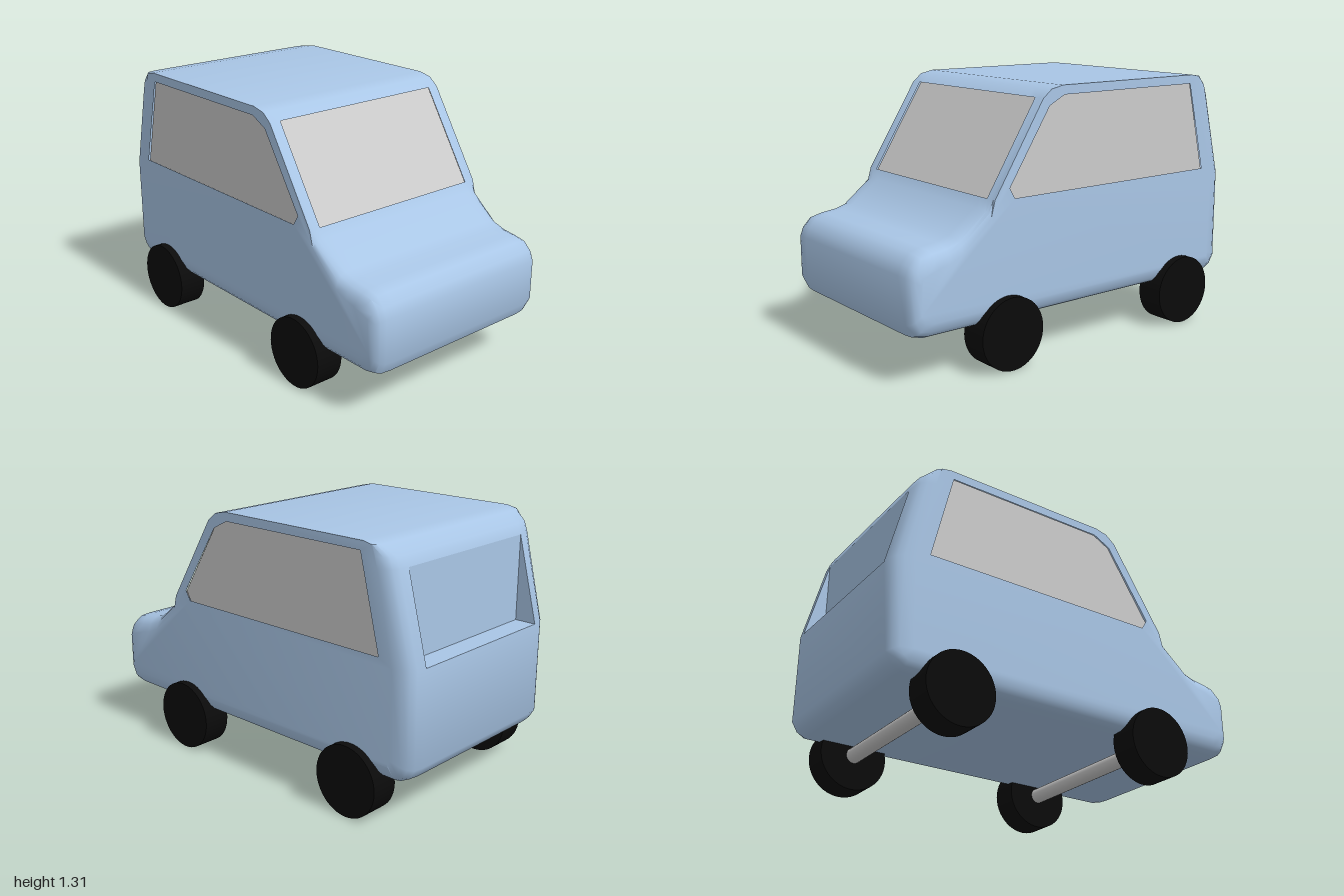
import * as THREE from 'three';
import { toCreasedNormals } from 'three/addons/utils/BufferGeometryUtils.js';

const paint = new THREE.MeshStandardMaterial({ color: 0xa9c6e6, side: THREE.DoubleSide });
const grey = new THREE.MeshStandardMaterial({ color: 0xcccccc, side: THREE.DoubleSide });
const rubber = new THREE.MeshStandardMaterial({ color: 0x0b0b0b });

// Side profile, nose at +x: x, y, edge inset in x and y, half width of an opening above this point
const PROFILE = [
  [-0.92, 0.225, 0.03, 0.08], [0.91, 0.225, -0.03, 0.08], [0.97, 0.24, -0.04, 0.07],
  [1, 0.3, -0.05, 0.05], [1, 0.52, -0.05, -0.03], [0.98, 0.57, -0.04, -0.05],
  [0.94, 0.615, -0.04, -0.07], [0.88, 0.63, -0.03, -0.08], [0.8, 0.64, 0, -0.08],
  [0.73, 0.66, 0, -0.07], [0.58, 0.77, -0.01, -0.03], [0.55, 0.815, 0, 0, 0.485],
  [0.27, 1.255, 0, 0], [0.22, 1.295, 0, 0], [0.15, 1.31, 0, 0], [-0.73, 1.31, 0, 0],
  [-0.81, 1.3, 0.03, 0], [-0.87, 1.25, 0.07, 0], [-0.89, 1.2, 0.08, 0, 0.43],
  [-1, 0.77, 0.1, 0], [-1, 0.3, 0.1, 0.04], [-0.97, 0.25, 0.08, 0.07],
];

// Half of the cross-wise slices: z, share of the edge inset
const HALF = [[0.545, 1], [0.533, 0.5], [0.515, 0.22], [0.485, 0.05], [0.43, 0]];
const SLICES = [...HALF.map(([z, t]) => [-z, t]), ...HALF.slice().reverse()];

const SIDE_WINDOW = [[-0.825, 0.81], [0.435, 0.81], [0.465, 0.86], [0.23, 1.22], [0.14, 1.265], [-0.715, 1.265]]
  .map(([x, y]) => new THREE.Vector2(x, y));

function add(group, name, geometry, material) {
  const mesh = new THREE.Mesh(geometry, material);
  mesh.name = name;
  group.add(mesh);
  return mesh;
}

function fromTriangles(positions) {
  const g = new THREE.BufferGeometry();
  g.setAttribute('position', new THREE.Float32BufferAttribute(positions, 3));
  return g;
}

const at = ([x, y, dx, dy], [z, t]) => [x + dx * t, y + dy * t, z];

function bodyGeometry() {
  const out = [];
  // Skin around the profile, leaving the windscreen and rear openings free
  for (let s = 0; s < SLICES.length - 1; s++) {
    const zMid = Math.abs(SLICES[s][0] + SLICES[s + 1][0]) / 2;
    PROFILE.forEach((p, i) => {
      if (p[4] && zMid < p[4]) return;
      const q = PROFILE[(i + 1) % PROFILE.length];
      const a = at(p, SLICES[s]), b = at(q, SLICES[s]);
      const c = at(q, SLICES[s + 1]), d = at(p, SLICES[s + 1]);
      out.push(...a, ...b, ...c, ...a, ...c, ...d);
    });
  }
  // Side walls with window holes
  const outline = new THREE.Shape(PROFILE.map((p) => {
    const [x, y] = at(p, HALF[0]);
    return new THREE.Vector2(x, y);
  }));
  outline.holes.push(new THREE.Path(SIDE_WINDOW));
  const wall = new THREE.ShapeGeometry(outline);
  const pos = wall.attributes.position;
  const index = Array.from(wall.index.array);
  for (const i of index) out.push(pos.getX(i), pos.getY(i), HALF[0][0]);
  for (const i of index.reverse()) out.push(pos.getX(i), pos.getY(i), -HALF[0][0]);
  return toCreasedNormals(fromTriangles(out), 0.7);
}

// Wedge-shaped pocket at the back: upright panel, ledge and two cheeks
function rearRecessGeometry() {
  const w = 0.43;
  const corner = (x, y) => [[x, y, -w], [x, y, w]];
  const [t0, t1] = corner(-0.89, 1.2);
  const [b0, b1] = corner(-0.89, 0.77);
  const [e0, e1] = corner(-1, 0.77);
  const tris = [t0, b0, b1, t0, b1, t1, b0, e0, e1, b0, e1, b1, t0, e0, b0, t1, b1, e1];
  const g = fromTriangles(tris.flat());
  g.computeVertexNormals();
  return g;
}

export function createModel() {
  const car = new THREE.Group();
  car.name = 'car';

  add(car, 'body', bodyGeometry(), paint);
  add(car, 'rearWindowRecess', rearRecessGeometry(), paint);

  // Windscreen, set just behind its opening
  const windscreen = add(car, 'windscreen', new THREE.BoxGeometry(0.55, 0.008, 1.0), grey);
  windscreen.position.set(0.393, 1.024, 0);
  windscreen.rotation.z = Math.atan2(-0.44, 0.28);

  for (const side of [1, -1]) {
    const label = side > 0 ? 'Near' : 'Far';
    // Side glass, slightly larger than its opening
    const glass = new THREE.ShapeGeometry(new THREE.Shape(SIDE_WINDOW));
    glass.translate(0.18, -1.04, 0).scale(1.02, 1.04, 1).translate(-0.18, 1.04, 0);
    add(car, 'sideWindow' + label, glass, grey).position.z = side * 0.53;

    // Wheels
    for (const [end, x] of [['front', 0.475], ['rear', -0.67]]) {
      const tyre = new THREE.CylinderGeometry(0.178, 0.178, 0.145, 48).rotateX(Math.PI / 2);
      add(car, end + 'Wheel' + label, tyre, rubber).position.set(x, 0.178, side * 0.5125);
    }
  }

  // Axles
  for (const [end, x] of [['front', 0.475], ['rear', -0.67]]) {
    const axle = new THREE.CylinderGeometry(0.04, 0.04, 0.9, 24).rotateX(Math.PI / 2);
    add(car, end + 'Axle', axle, grey).position.set(x, 0.178, 0);
  }
  return car;
}
